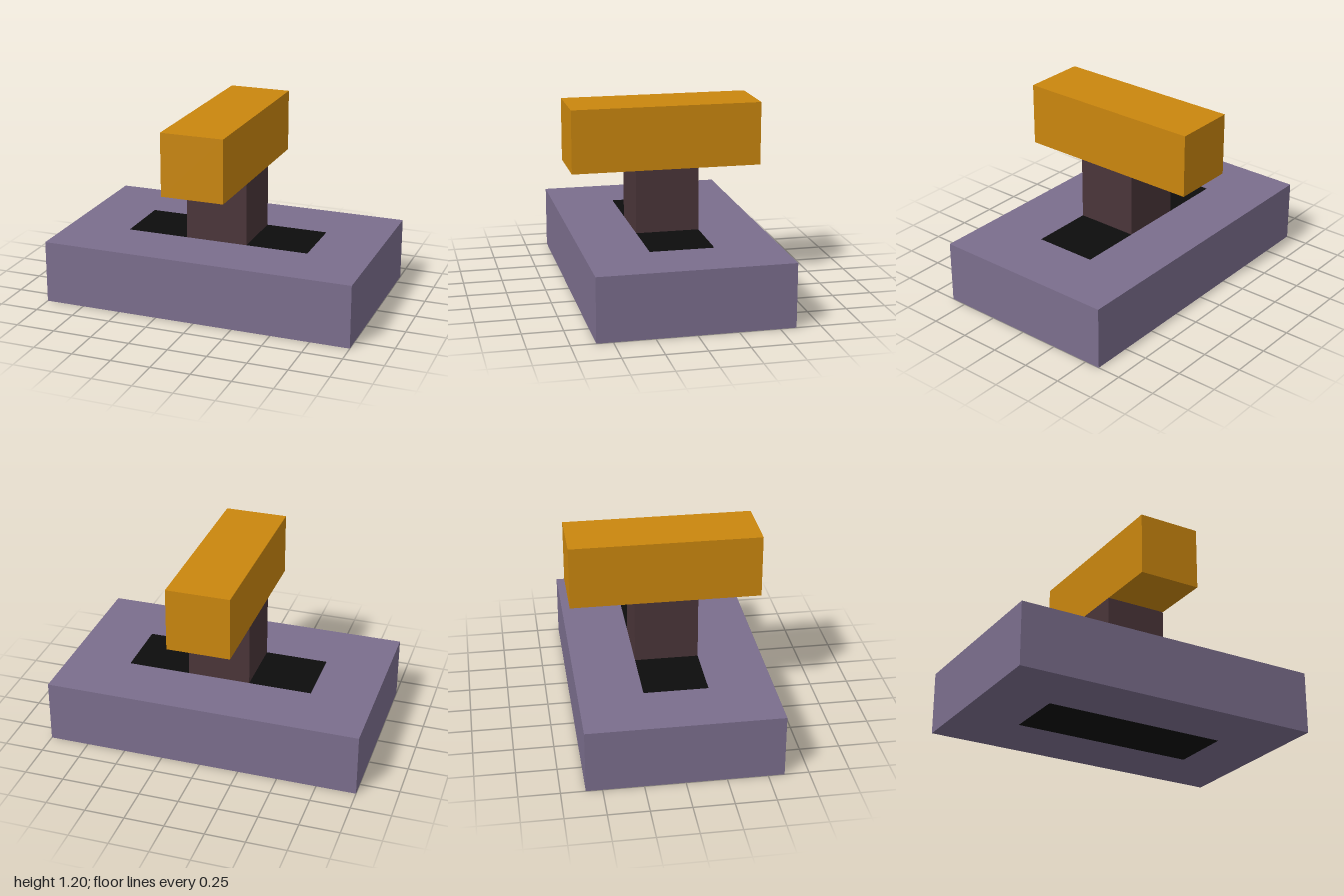
import * as THREE from 'three';

const material = (name, color) => {
  const m = new THREE.MeshStandardMaterial({ color });
  m.name = name;
  return m;
};

// Closed rectangle as a list of points, centred on the origin
const rectangle = (w, h) => [[-1, -1], [1, -1], [1, 1], [-1, 1]]
  .map(([x, y]) => new THREE.Vector2(x * w / 2, y * h / 2));

export function createModel() {
  const group = new THREE.Group();
  group.name = 'switch';

  const purple = material('dusty purple', 0x7b6e8d);
  const black = material('black', 0x0d0d0d);
  const brown = material('dark brown', 0x4a3539);
  const orange = material('orange', 0xca860e);

  const add = (name, geometry, mat, y) => {
    const mesh = new THREE.Mesh(geometry, mat);
    mesh.name = name;
    mesh.position.y = y;
    group.add(mesh);
  };

  // Base slab with a slot cut right through it
  const outline = new THREE.Shape(rectangle(2, 1.2));
  outline.holes.push(new THREE.Path(rectangle(1.2, 0.4)));
  const slab = new THREE.ExtrudeGeometry(outline, { depth: 0.4, bevelEnabled: false });
  slab.rotateX(-Math.PI / 2);
  add('base', slab, purple, 0);

  // Insert filling the slot, flush with the top and bottom
  add('slotInsert', new THREE.BoxGeometry(1.2, 0.4, 0.4), black, 0.2);

  // Post and crossbar handle
  add('post', new THREE.BoxGeometry(0.4, 0.4, 0.4), brown, 0.6);
  add('handle', new THREE.BoxGeometry(0.4, 0.4, 1.2), orange, 1.0);

  return group;
}
